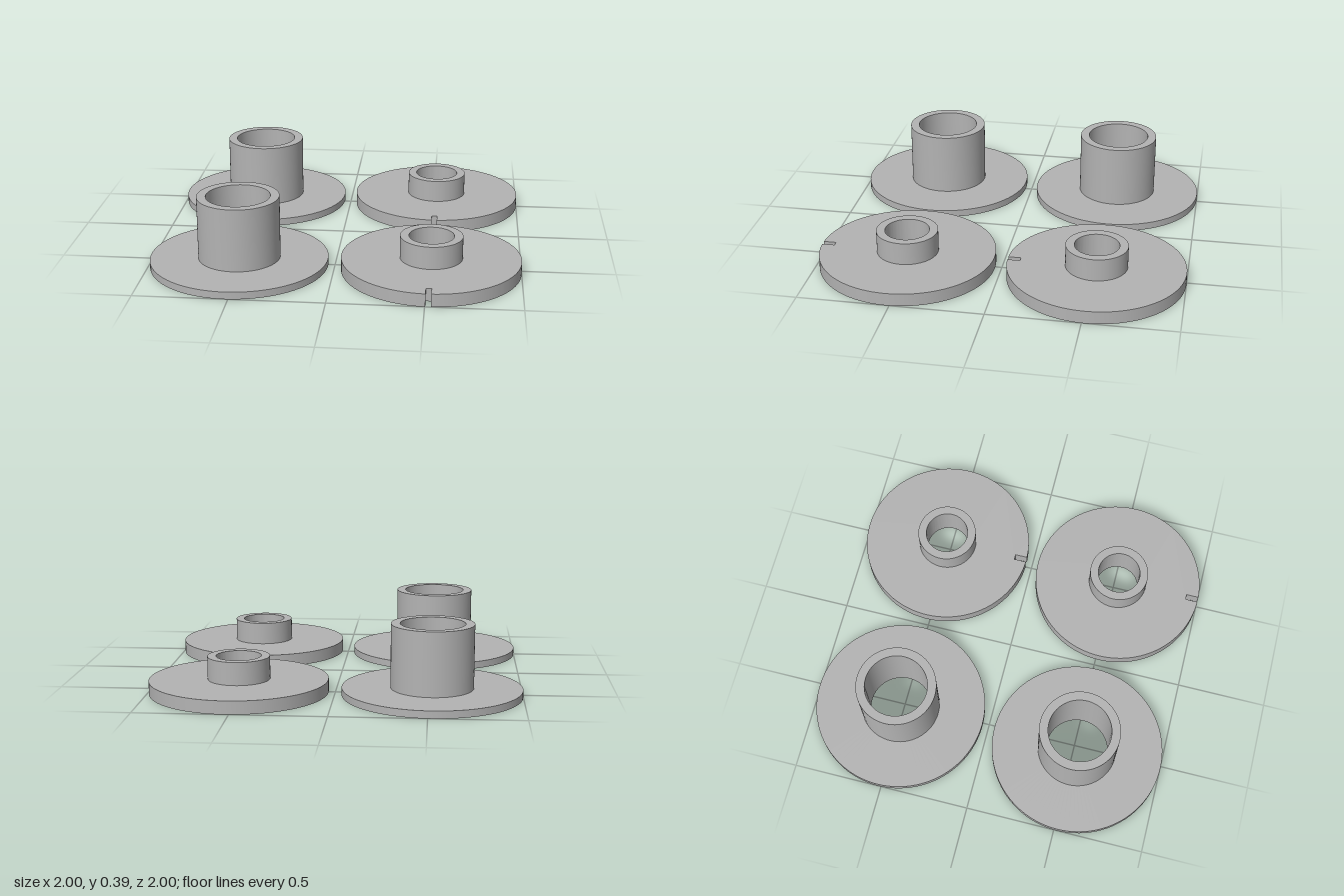
import * as THREE from 'three';
import { toCreasedNormals } from 'three/addons/utils/BufferGeometryUtils.js';

const SEGMENTS = 96;
const DISC_R = 0.482;
const OFFSET = 0.518;

// Revolve a profile of [radius, height] pairs, keeping its edges sharp
function revolve(profile) {
  const points = profile.map(([r, y]) => new THREE.Vector2(r, y));
  return toCreasedNormals(new THREE.LatheGeometry(points, SEGMENTS), 0.6);
}

// Thin flange and tall sleeve turned as one piece
function tallBushing() {
  const flange = 0.04, height = 0.387, outer = 0.222, bore = 0.173;
  return revolve([
    [bore, 0], [DISC_R, 0], [DISC_R, flange], [outer, flange],
    [outer, height], [bore, height], [bore, 0],
  ]);
}

// Disc with a bore and a slot cut into its front edge
function notchedDisc(bore, thickness) {
  const half = 0.015, depth = 0.07;
  const a = Math.asin(half / DISC_R);
  const shape = new THREE.Shape();
  shape.absarc(0, 0, DISC_R, -Math.PI / 2 + a, Math.PI * 1.5 - a, false);
  shape.lineTo(-half, -DISC_R + depth);
  shape.lineTo(half, -DISC_R + depth);
  shape.closePath();
  const hole = new THREE.Path();
  hole.absarc(0, 0, bore, 0, Math.PI * 2, true);
  shape.holes.push(hole);
  const geometry = new THREE.ExtrudeGeometry(shape, {
    depth: thickness, bevelEnabled: false, curveSegments: SEGMENTS,
  });
  geometry.rotateX(-Math.PI / 2);
  return toCreasedNormals(geometry, 0.6);
}

export function createModel() {
  const model = new THREE.Group();
  model.name = 'flangedBushings';
  const grey = new THREE.MeshStandardMaterial({ color: 0xb3b3b3 });
  grey.name = 'plain grey';

  const flange = 0.071, height = 0.196, collarR = 0.168, bore = 0.121;
  const tallGeometry = tallBushing();
  const discGeometry = notchedDisc(bore, flange);
  // Collar is open below, where it stands on the disc
  const collarGeometry = revolve([
    [collarR, flange], [collarR, height], [bore, height], [bore, flange],
  ]);

  // One tall and one short bushing in each row
  for (const [row, z] of [['back', -OFFSET], ['front', OFFSET]]) {
    const tall = new THREE.Mesh(tallGeometry, grey);
    tall.name = row + 'TallBushing';
    tall.position.set(-OFFSET, 0, z);

    const short = new THREE.Group();
    short.name = row + 'ShortBushing';
    short.position.set(OFFSET, 0, z);
    const disc = new THREE.Mesh(discGeometry, grey);
    disc.name = 'notchedFlange';
    const collar = new THREE.Mesh(collarGeometry, grey);
    collar.name = 'collar';
    short.add(disc, collar);

    model.add(tall, short);
  }
  return model;
}
